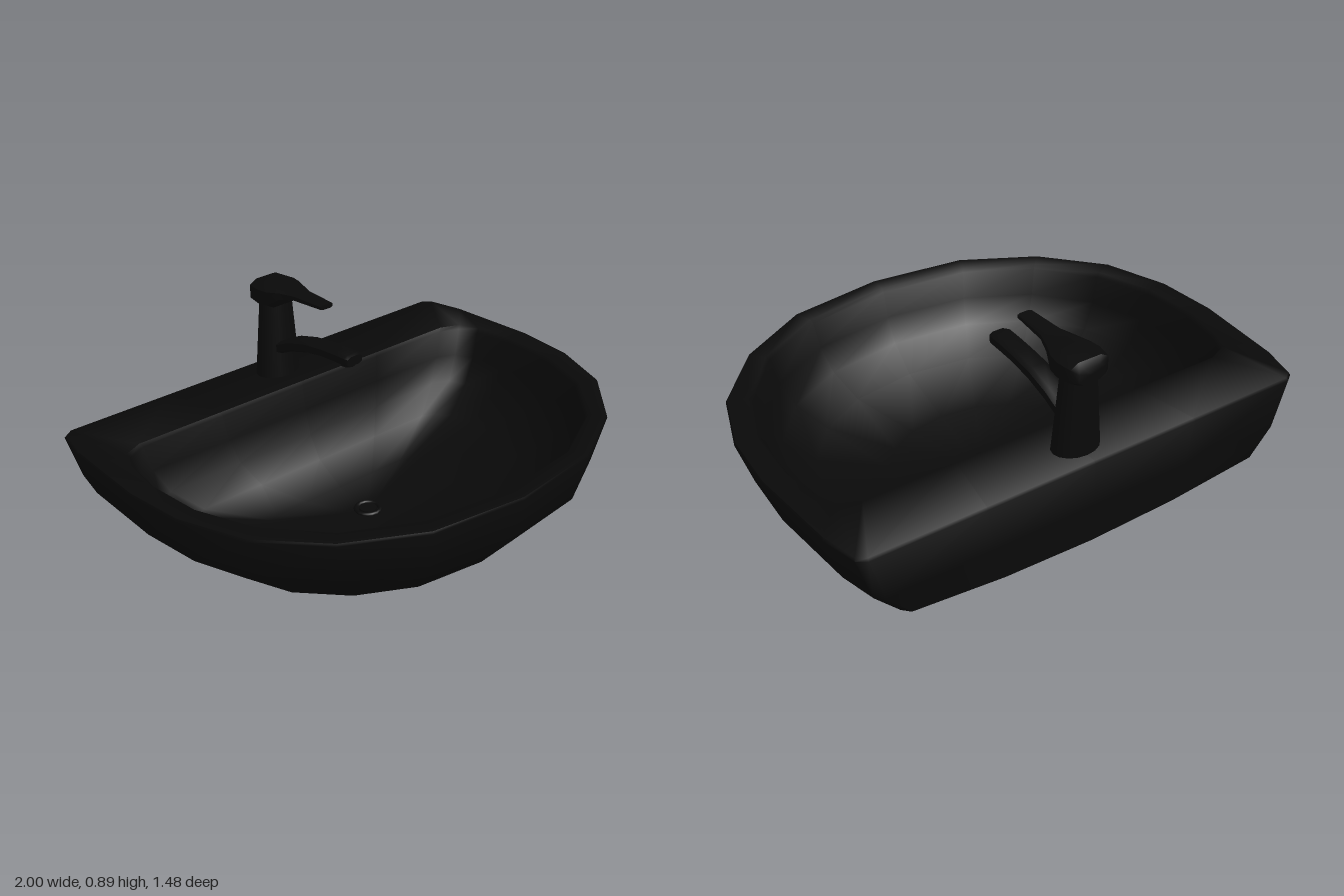
import * as THREE from 'three';
import { toCreasedNormals } from 'three/addons/utils/BufferGeometryUtils.js';

// Skin closed rings of [x, y, z] points, closing each end with a fan to a given centre point.
function loft(rings, start, end, crease) {
  const n = rings[0].length, last = (rings.length - 1) * n;
  const positions = [...rings.flat(), start, end].flat();
  const s = rings.length * n, e = s + 1, index = [];
  for (let j = 0; j < n; j++) {
    const k = (j + 1) % n;
    for (let i = 0; i < rings.length - 1; i++) {
      const a = i * n + j, b = i * n + k;
      index.push(a, b, b + n, a, b + n, a + n);
    }
    index.push(s, k, j, e, last + j, last + k);
  }
  const g = new THREE.BufferGeometry();
  g.setAttribute('position', new THREE.Float32BufferAttribute(positions, 3));
  g.setIndex(index);
  return toCreasedNormals(g, crease);
}

// Complete a half outline running front to back on +x; first and last points lie on the centre line.
const mirrored = half => [...half, ...half.slice(1, -1).reverse().map(([x, z]) => [-x, z])];

// Loft along z through chamfered box sections of [z, half width, bottom y, top y].
function loftAlongZ(sections) {
  const soften = v => Math.sign(v) * Math.abs(v / Math.cos(Math.PI / 8)) ** 0.6;
  const rings = sections.map(([z, w, y0, y1]) => Array.from({ length: 8 }, (_, j) => {
    const a = (j + 0.5) / 8 * Math.PI * 2;
    return [w * soften(Math.cos(a)), (y0 + y1) / 2 + (y1 - y0) / 2 * soften(Math.sin(a)), z];
  }));
  const centre = ([z, , y0, y1]) => [0, (y0 + y1) / 2, z];
  return loft(rings, centre(sections[0]), centre(sections[sections.length - 1]), 0.9);
}

export function createModel() {
  const model = new THREE.Group();
  model.name = 'washbasin';
  const black = new THREE.MeshStandardMaterial({ color: 0x090909 });
  black.name = 'black ceramic';
  const add = (name, geometry, parent = model) => {
    const mesh = new THREE.Mesh(geometry, black);
    mesh.name = name;
    parent.add(mesh);
    return mesh;
  };

  // Basin: outer shell from the bottom up, flat rim and deck, then down into the bowl
  const outer = mirrored([[0, 0.738], [0.39, 0.687], [0.68, 0.53], [0.885, 0.305], [0.978, 0.05],
    [1, -0.2], [0.975, -0.57], [0.94, -0.715], [0.905, -0.74], [0.45, -0.74], [0, -0.74]]);
  const inner = mirrored([[0, 0.67], [0.36, 0.62], [0.63, 0.48], [0.81, 0.27], [0.895, 0.04],
    [0.91, -0.2], [0.885, -0.36], [0.85, -0.44], [0.77, -0.475], [0.4, -0.475], [0, -0.475]]);
  // [scale, y, scale of the part behind the lowest point]
  const outerRings = [[0.385, 0.04, 0.47], [0.72, 0.14, 1], [0.935, 0.305, 1], [1, 0.49, 1], [0.995, 0.5, 0.99]]
    .map(([s, y, back], level) => outer.map(([x, z]) => {
      // The lower edge of the flat back is wider and curves up towards its corners
      if (level === 1 && z < -0.7) return [x * 0.83, 0.15 + 0.06 * x * x, z];
      return [x * s, y, 0.04 + (z - 0.04) * (z > 0.04 ? s : back)];
    }));
  const drainZ = -0.08;
  const innerRings = [[1, 0.5], [0.985, 0.485], [0.95, 0.38], [0.88, 0.28], [0.74, 0.185], [0.42, 0.11], [0.12, 0.085]]
    .map(([s, y]) => inner.map(([x, z]) => [x * s, y, drainZ + (z - drainZ) * s]));
  add('basin', loft([...outerRings, ...innerRings], [0, 0.001, 0.04], [0, 0.083, drainZ], 1.05));

  // Drain
  const drain = new THREE.Group();
  drain.name = 'drain';
  drain.position.set(0, 0.087, drainZ);
  model.add(drain);
  add('drainRing', new THREE.TorusGeometry(0.048, 0.009, 8, 16).rotateX(Math.PI / 2), drain);
  add('drainPlug', new THREE.CylinderGeometry(0.035, 0.035, 0.012, 16), drain);

  // Tap: oval tapering column, curved spout, and head with lever
  const tap = new THREE.Group();
  tap.name = 'tap';
  model.add(tap);
  const column = add('tapColumn', new THREE.CylinderGeometry(0.07, 0.097, 0.33, 16), tap);
  column.scale.z = 0.73;
  column.position.set(0, 0.655, -0.624);
  add('spout', loftAlongZ([[-0.61, 0.045, 0.585, 0.64], [-0.56, 0.045, 0.602, 0.654],
    [-0.5, 0.045, 0.63, 0.682], [-0.4, 0.044, 0.66, 0.71], [-0.3, 0.043, 0.677, 0.722],
    [-0.22, 0.043, 0.682, 0.728], [-0.165, 0.043, 0.684, 0.73], [-0.15, 0.036, 0.688, 0.726]]), tap);
  add('aerator', new THREE.CylinderGeometry(0.028, 0.028, 0.02, 12), tap).position.set(0, 0.686, -0.19);
  add('headAndLever', loftAlongZ([[-0.697, 0.055, 0.805, 0.865], [-0.68, 0.08, 0.8, 0.89],
    [-0.62, 0.09, 0.797, 0.893], [-0.575, 0.083, 0.8, 0.893], [-0.52, 0.06, 0.845, 0.888],
    [-0.46, 0.04, 0.858, 0.886], [-0.31, 0.03, 0.866, 0.885]]), tap);

  return model;
}
